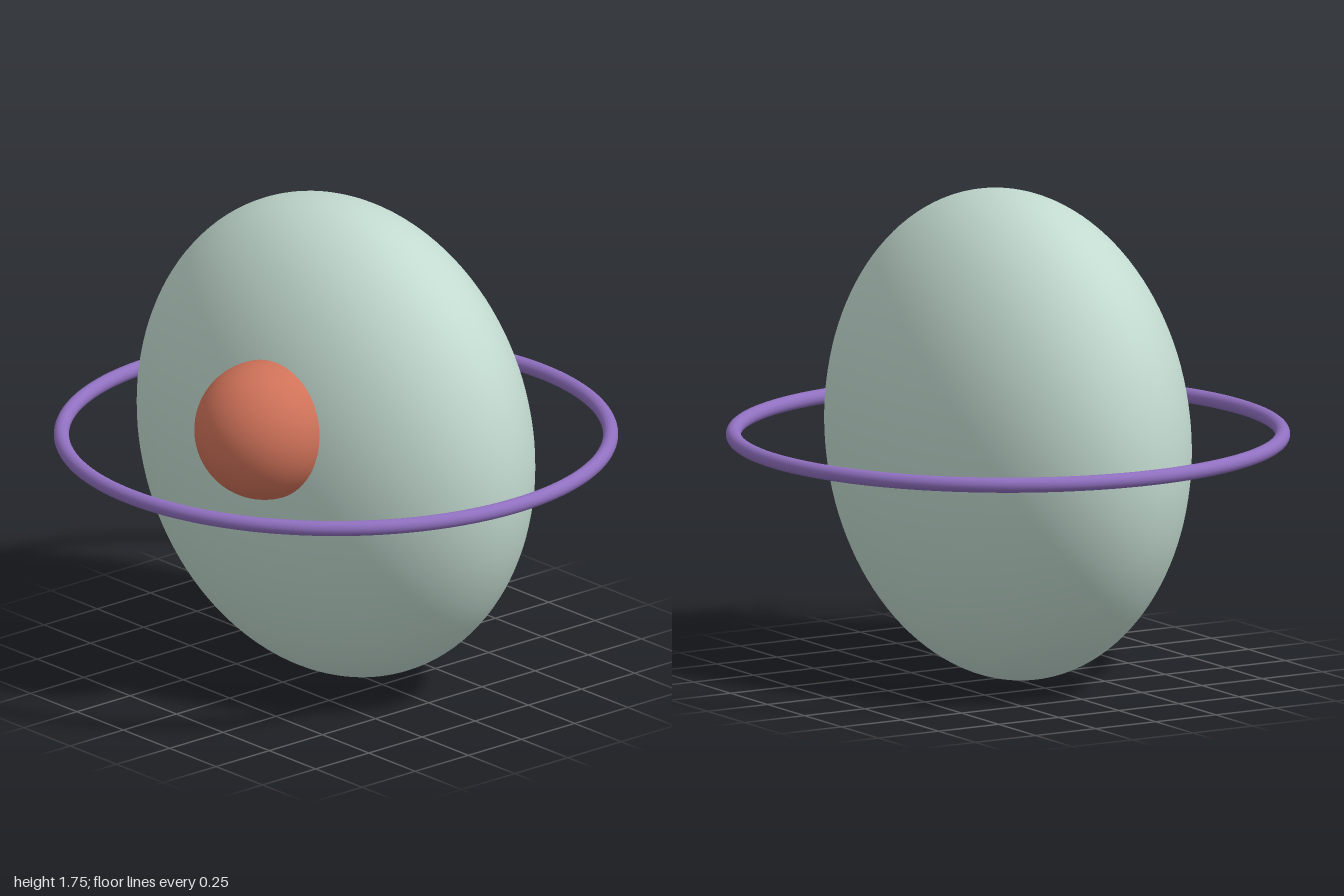
import * as THREE from 'three';

export function createModel() {
  const model = new THREE.Group();
  const sage = new THREE.MeshStandardMaterial({ color: 0xc2dad0 });
  const coral = new THREE.MeshStandardMaterial({ color: 0xcf7259 });
  const violet = new THREE.MeshStandardMaterial({ color: 0x9070c0 });
  sage.name = 'sage';
  coral.name = 'coral';
  violet.name = 'violet';

  const R = 0.876; // body radius and centre height

  const add = (name, geometry, material, x, y, z) => {
    const mesh = new THREE.Mesh(geometry, material);
    mesh.name = name;
    mesh.position.set(x, y, z);
    model.add(mesh);
  };

  // Round body, flattened front to back
  add('body', new THREE.SphereGeometry(R, 96, 64).scale(1, 1, 0.62), sage, 0, R, 0);

  // Ball half sunk into the front of the body
  add('noseBall', new THREE.SphereGeometry(0.249, 64, 40), coral, 0.188, 1.065, 0.5);

  // Thin level ring around the middle
  add('ring', new THREE.TorusGeometry(0.973, 0.027, 24, 160).rotateX(Math.PI / 2), violet, 0, R, 0);

  return model;
}
